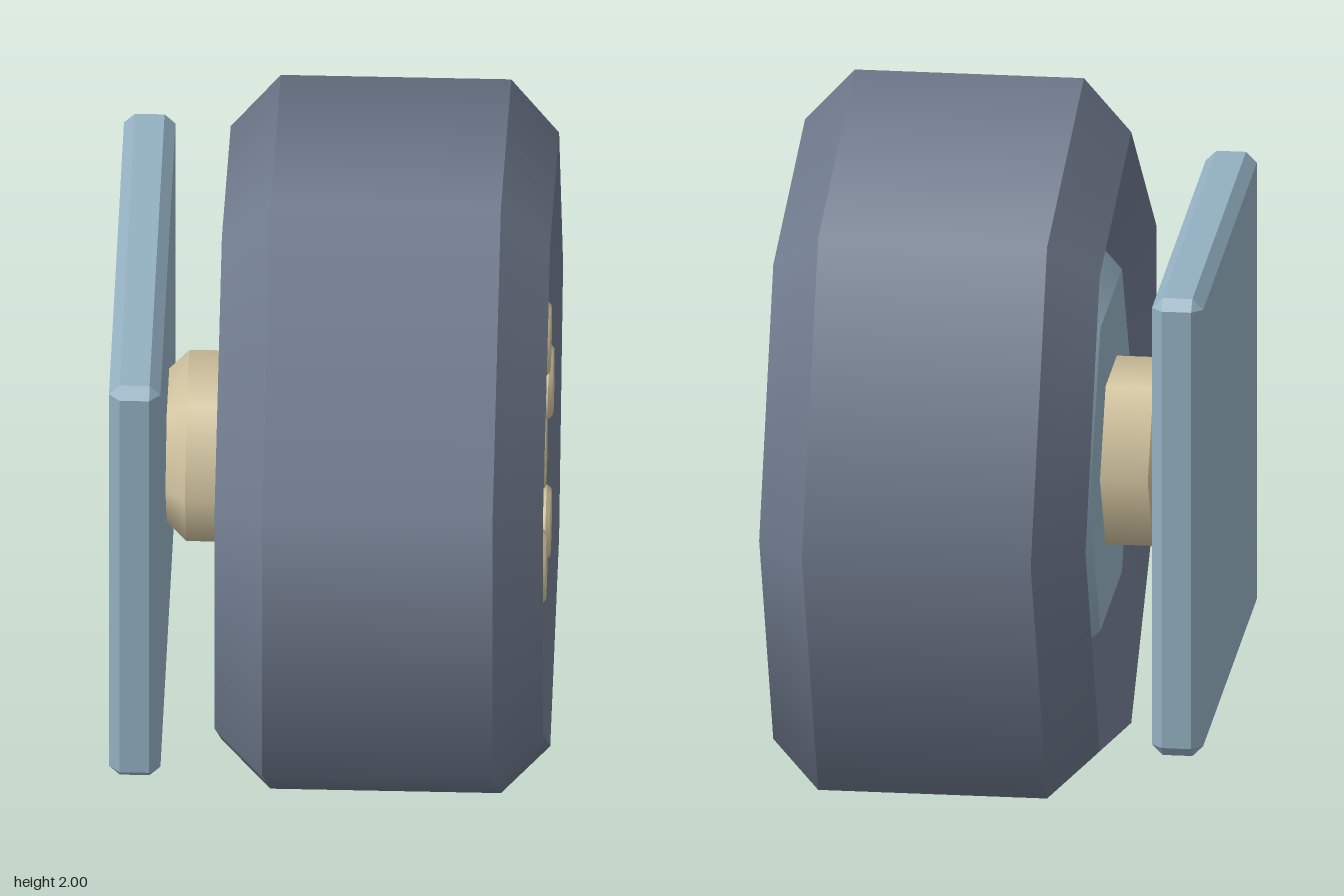
import * as THREE from 'three';
import { mergeGeometries } from 'three/addons/utils/BufferGeometryUtils.js';
import { ConvexGeometry } from 'three/addons/geometries/ConvexGeometry.js';

const MID_X = 0.1475; // middle plane of the wheel
const AXIS_Y = 1, AXIS_Z = 0.05;

// Turned part along x: [x, radius] profile, smooth around, sharp between bands
function turned(profile, sides) {
  const bands = [];
  for (let i = 0; i < profile.length - 1; i++) {
    const pair = [profile[i], profile[i + 1]].map(([x, r]) => new THREE.Vector2(r, x));
    bands.push(new THREE.LatheGeometry(pair, sides, Math.PI));
  }
  return mergeGeometries(bands).rotateZ(-Math.PI / 2);
}

// Box with every edge cut at 45 degrees
function chamferedBox(w, h, d, c) {
  const points = [];
  for (const sx of [-1, 1]) for (const sy of [-1, 1]) for (const sz of [-1, 1]) {
    const x = w / 2, y = h / 2, z = d / 2;
    points.push(
      new THREE.Vector3(sx * x, sy * (y - c), sz * (z - c)),
      new THREE.Vector3(sx * (x - c), sy * y, sz * (z - c)),
      new THREE.Vector3(sx * (x - c), sy * (y - c), sz * z));
  }
  return new ConvexGeometry(points);
}

export function createModel() {
  const model = new THREE.Group();
  model.name = 'wheel';
  const paint = (name, color) => {
    const m = new THREE.MeshStandardMaterial({ color });
    m.name = name;
    return m;
  };
  const rubber = paint('slate rubber', 0x6f7a8d);
  const steel = paint('pale blue steel', 0x93b0c1);
  const brass = paint('cream metal', 0xd3c5a0);

  const add = (name, geometry, material, x, y = AXIS_Y, z = AXIS_Z) => {
    const mesh = new THREE.Mesh(geometry, material);
    mesh.name = name;
    mesh.position.set(x, y, z);
    model.add(mesh);
    return mesh;
  };

  // Seven-sided tyre with dished side walls
  add('tyre', turned([
    [-0.32, 0], [-0.32, 0.5], [-0.4525, 0.882], [-0.3175, 1.026],
    [0.3175, 1.026], [0.4525, 0.882], [0.32, 0.5], [0.32, 0],
  ], 7), rubber, MID_X);

  // Seven-sided rim showing on both sides
  add('rim', turned([
    [-0.35, 0], [-0.35, 0.538], [0.35, 0.538], [0.35, 0],
  ], 7), steel, MID_X);

  // Six-sided hub caps, bevelled towards the outside
  add('hubCaps', turned([
    [-0.42, 0], [-0.42, 0.508], [-0.37, 0.56],
    [0.37, 0.56], [0.42, 0.508], [0.42, 0],
  ], 6), steel, MID_X);

  // Ring of five bolts on the outer cap
  const boltShape = turned([[-0.03, 0.105], [0.01, 0.105], [0.022, 0.094], [0.022, 0]], 8);
  for (let i = 0; i < 5; i++) {
    const a = (i / 5) * Math.PI * 2;
    add('bolt', boltShape, brass, 0.57,
      AXIS_Y + 0.33 * Math.sin(a), AXIS_Z - 0.33 * Math.cos(a));
  }

  // Six-sided axle between the wheel and the mounting plate
  add('axle', turned([
    [-0.46, 0], [-0.46, 0.212], [-0.405, 0.265], [-0.2, 0.265], [-0.2, 0],
  ], 6), brass, 0);

  // Mounting plate
  add('mountingPlate', chamferedBox(0.142, 1.33, 1.324, 0.03), steel, -0.531);

  return model;
}
